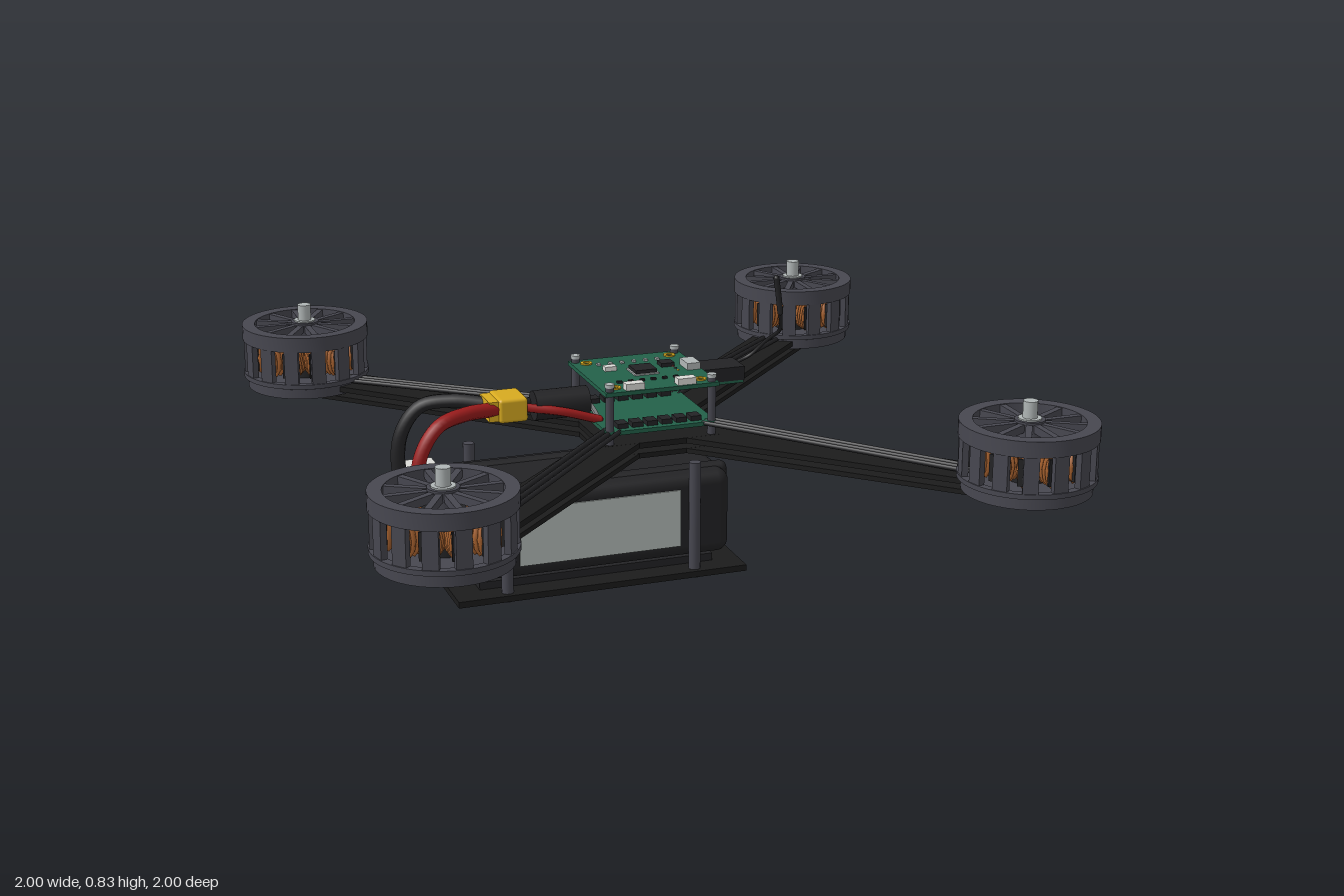
import * as THREE from 'three';
import { toCreasedNormals } from 'three/addons/utils/BufferGeometryUtils.js';
import { RoundedBoxGeometry } from 'three/addons/geometries/RoundedBoxGeometry.js';

const paint = (name, color) => Object.assign(new THREE.MeshStandardMaterial({ color }), { name });
const carbon = paint('carbon black', 0x1b1b1b);
const rubber = paint('soft black', 0x232325);
const metal = paint('dark grey metal', 0x474750);
const steel = paint('light steel', 0xb0b6b6);
const copper = paint('copper', 0xa8622f);
const green = paint('board green', 0x23614a);
const yellow = paint('connector yellow', 0xd8ab20);
const red = paint('wire red', 0x9c1c1c);
const silver = paint('label silver', 0xb4bcb8);
const white = paint('plug white', 0xdcdcd8);

const V = (x, y, z) => new THREE.Vector3(x, y, z);

function add(parent, name, geometry, material, x = 0, y = 0, z = 0) {
  const mesh = new THREE.Mesh(geometry, material);
  mesh.name = name;
  mesh.position.set(x, y, z);
  parent.add(mesh);
  return mesh;
}
const box = (parent, name, mat, w, h, d, x, y, z) =>
  add(parent, name, new THREE.BoxGeometry(w, h, d), mat, x, y, z);
// Upright cylinder between two heights
const post = (parent, name, mat, r, y0, y1, x, z, seg = 16) =>
  add(parent, name, new THREE.CylinderGeometry(r, r, y1 - y0, seg), mat, x, (y0 + y1) / 2, z);
// Smooth round wire through points, capped with small balls
function wire(parent, name, mat, r, pts, seg = 40) {
  const path = new THREE.CatmullRomCurve3(pts.map(p => V(...p)));
  add(parent, name, new THREE.TubeGeometry(path, seg, r, 8), mat);
  for (const p of [pts[0], pts[pts.length - 1]])
    add(parent, name + 'End', new THREE.SphereGeometry(r, 8, 6), mat, ...p);
}
// Flat ring lying in the xz plane, y from 0 to h
function ringGeometry(outer, inner, h) {
  const shape = new THREE.Shape().absarc(0, 0, outer, 0, Math.PI * 2);
  shape.holes.push(new THREE.Path().absarc(0, 0, inner, 0, Math.PI * 2, true));
  const geo = new THREE.ExtrudeGeometry(shape, { depth: h, bevelEnabled: false, curveSegments: 24 });
  return toCreasedNormals(geo.rotateX(-Math.PI / 2), 0.6);
}

function createMotor() {
  const g = new THREE.Group();
  g.name = 'motor';
  post(g, 'motorBase', metal, 0.178, 0.387, 0.416, 0, 0, 40);
  add(g, 'bellLowerRing', ringGeometry(0.19, 0.168, 0.014), metal, 0, 0.42, 0);
  add(g, 'bellUpperRing', ringGeometry(0.19, 0.152, 0.045), metal, 0, 0.535, 0);
  post(g, 'statorCore', rubber, 0.055, 0.416, 0.53, 0, 0, 24);
  post(g, 'hub', metal, 0.042, 0.53, 0.584, 0, 0, 24);
  post(g, 'shaftCollar', steel, 0.032, 0.58, 0.588, 0, 0, 20);
  post(g, 'shaft', steel, 0.02, 0.4, 0.635, 0, 0, 16);

  const spoke = new THREE.BoxGeometry(0.13, 0.022, 0.018);
  const magnet = new THREE.BoxGeometry(0.018, 0.12, 0.042);
  const tooth = new THREE.BoxGeometry(0.11, 0.05, 0.012);
  const tip = new THREE.BoxGeometry(0.008, 0.075, 0.045);
  const turn = new THREE.TorusGeometry(0.03, 0.009, 5, 10).scale(0.72, 1.3, 1).rotateY(Math.PI / 2);
  for (let i = 0; i < 12; i++) {
    const sector = new THREE.Group();
    sector.name = 'motorSector';
    sector.rotation.y = (i * Math.PI) / 6;
    add(sector, 'spoke', spoke, metal, 0.1, 0.567, 0);
    add(sector, 'statorTooth', tooth, rubber, 0.1, 0.482, 0);
    add(sector, 'toothTip', tip, rubber, 0.154, 0.482, 0);
    for (let k = 0; k < 5; k++) add(sector, 'coilTurn', turn, copper, 0.078 + k * 0.0165, 0.482, 0);
    g.add(sector);
  }
  for (let i = 0; i < 14; i++) {
    const a = ((i + 0.5) * Math.PI) / 7;
    const m = add(g, 'magnet', magnet, metal, Math.cos(a) * 0.177, 0.485, -Math.sin(a) * 0.177);
    m.rotation.y = a;
  }
  return g;
}

function createArm() {
  // Runs along +x from the centre; two carbon plates and three motor leads
  const g = new THREE.Group();
  g.name = 'arm';
  box(g, 'lowerArmPlate', carbon, 1.145, 0.014, 0.14, 0.5725, 0.374, 0);
  box(g, 'upperArmPlate', carbon, 1.0, 0.016, 0.14, 0.5, 0.404, 0);
  for (const z of [-0.022, 0, 0.022])
    wire(g, 'motorLead', rubber, 0.007, [[0.2, 0.447, z], [0.3, 0.444, z], [0.65, 0.431, z], [1.0, 0.418, z]], 12);
  return g;
}

function createFlightStack() {
  const g = new THREE.Group();
  g.name = 'flightStack';
  box(g, 'lowerBoard', green, 0.33, 0.012, 0.33, 0, 0.446, 0);
  box(g, 'upperBoard', green, 0.34, 0.012, 0.34, 0, 0.562, 0);
  for (const sx of [-1, 1]) for (const sz of [-1, 1]) {
    post(g, 'standoff', metal, 0.012, 0.38, 0.58, sx * 0.153, sz * 0.153, 12);
    post(g, 'standoffScrew', steel, 0.014, 0.58, 0.59, sx * 0.153, sz * 0.153, 12);
    add(g, 'goldPad', ringGeometry(0.017, 0.009, 0.004), yellow, sx * 0.128, 0.568, sz * 0.128);
  }
  // Speed-control chips along both long edges of the lower board
  for (const sz of [-1, 1]) for (let i = 0; i < 6; i++)
    box(g, 'powerChip', rubber, 0.032, 0.014, 0.04, -0.11 + i * 0.044, 0.459, sz * 0.125);
  // Parts on the upper board
  box(g, 'processorPins', steel, 0.074, 0.005, 0.074, 0, 0.5695, 0);
  box(g, 'processor', rubber, 0.064, 0.014, 0.064, 0, 0.575, 0);
  box(g, 'sensorChip', rubber, 0.04, 0.012, 0.04, 0.085, 0.573, -0.04);
  box(g, 'usbPort', steel, 0.04, 0.02, 0.065, 0.145, 0.578, 0);
  for (const x of [-0.08, 0.075]) box(g, 'socket', white, 0.055, 0.02, 0.03, x, 0.577, 0.15);
  box(g, 'smallSocket', white, 0.035, 0.014, 0.025, -0.085, 0.574, -0.045);
  for (let i = 0; i < 6; i++) {
    box(g, 'smallPart', steel, 0.01, 0.006, 0.014, -0.1 + i * 0.036, 0.571, -0.1);
    box(g, 'smallPart', rubber, 0.014, 0.006, 0.01, -0.1 + i * 0.034, 0.571, 0.085);
  }
  // Capacitor lying along x behind the boards
  const cap = add(g, 'capacitor', new THREE.CylinderGeometry(0.043, 0.043, 0.16, 24), rubber, -0.25, 0.5, 0);
  cap.rotation.z = Math.PI / 2;
  for (const z of [-0.015, 0.015])
    wire(g, 'capacitorLead', steel, 0.005, [[-0.17, 0.5, z], [-0.155, 0.48, z], [-0.14, 0.452, z]], 8);
  return g;
}

function createBatteryPack() {
  const g = new THREE.Group();
  g.name = 'batteryPack';
  box(g, 'batteryTray', carbon, 0.86, 0.018, 0.44, -0.19, 0.014, 0);
  box(g, 'trayPad', rubber, 0.7, 0.022, 0.3, -0.19, 0.034, 0);
  for (const x of [-0.47, 0.09]) for (const z of [-0.19, 0.19]) {
    post(g, 'trayPost', metal, 0.017, 0.005, 0.345, x, z);
    post(g, 'trayBolt', metal, 0.022, 0, 0.006, x, z, 6);
  }
  add(g, 'battery', new RoundedBoxGeometry(0.79, 0.25, 0.362, 4, 0.035), rubber, -0.19, 0.178, 0);
  for (const z of [-0.11, 0.11])
    add(g, 'batteryBand', new RoundedBoxGeometry(0.81, 0.268, 0.045, 3, 0.02), rubber, -0.19, 0.178, z);
  box(g, 'batteryLabel', silver, 0.48, 0.17, 0.006, -0.19, 0.177, 0.182);
  // Thick power leads to the yellow plug
  for (const [s, mat] of [[1, red], [-1, rubber]])
    wire(g, 'powerLead', mat, 0.021, [
      [-0.57, 0.2, s * 0.1], [-0.65, 0.225, s * 0.105], [-0.695, 0.3, s * 0.11], [-0.69, 0.42, s * 0.11],
      [-0.635, 0.5, s * 0.1], [-0.55, 0.518, s * 0.07], [-0.45, 0.51, s * 0.028]]);
  add(g, 'powerPlug', new RoundedBoxGeometry(0.085, 0.07, 0.112, 2, 0.01), yellow, -0.402, 0.507, -0.003);
  box(g, 'powerPlugRear', yellow, 0.04, 0.058, 0.095, -0.452, 0.507, -0.003);
  for (const z of [-0.025, 0.025])
    wire(g, 'plugLead', z > 0 ? red : rubber, 0.013, [[-0.36, 0.505, z], [-0.26, 0.49, z * 2], [-0.15, 0.455, z * 2]], 12);
  // Balance plug with its thin leads
  box(g, 'balancePlug', white, 0.1, 0.045, 0.065, -0.63, 0.287, -0.17);
  for (let i = 0; i < 4; i++) {
    const z = -0.195 + i * 0.017;
    wire(g, 'balanceLead', i === 3 ? rubber : red, 0.005, [
      [-0.67, 0.285, z], [-0.705, 0.265, z], [-0.7, 0.21, z], [-0.65, 0.175, z * 0.9], [-0.57, 0.17, z * 0.8]], 24);
  }
  return g;
}

function createReceiver() {
  const g = new THREE.Group();
  g.name = 'receiver';
  box(g, 'receiverBoard', green, 0.18, 0.01, 0.095, 0.295, 0.45, -0.225);
  box(g, 'receiverCase', rubber, 0.16, 0.042, 0.1, 0.307, 0.475, -0.225);
  [red, rubber, yellow].forEach((mat, i) => wire(g, 'receiverLead', mat, 0.005, [
    [0.22, 0.46, -0.245 + i * 0.02], [0.19, 0.465, -0.21 + i * 0.02], [0.14, 0.5, -0.12 + i * 0.02], [0.1, 0.566, -0.02 + i * 0.02]], 16));
  wire(g, 'antennaWire', rubber, 0.006, [
    [0.38, 0.485, -0.25], [0.43, 0.505, -0.248], [0.467, 0.56, -0.205], [0.465, 0.62, -0.1], [0.435, 0.675, -0.02], [0.41, 0.72, 0.035]]);
  wire(g, 'antennaTip', rubber, 0.009, [[0.41, 0.715, 0.035], [0.403, 0.77, 0.035], [0.396, 0.818, 0.035]], 8);
  return g;
}

export function createModel() {
  const model = new THREE.Group();
  model.name = 'quadcopter';
  for (let i = 0; i < 4; i++) {
    const a = Math.PI / 4 + (i * Math.PI) / 2;
    const arm = createArm();
    arm.rotation.y = a;
    const motor = createMotor();
    motor.position.set(Math.sign(Math.cos(a)) * 0.81, 0, -Math.sign(Math.sin(a)) * 0.81);
    model.add(arm, motor);
  }
  // Centre plates join the arms
  box(model, 'lowerCentrePlate', carbon, 0.34, 0.0144, 0.34, 0, 0.374, 0);
  box(model, 'upperCentrePlate', carbon, 0.34, 0.0164, 0.34, 0, 0.404, 0);
  model.add(createFlightStack(), createBatteryPack(), createReceiver());
  return model;
}
